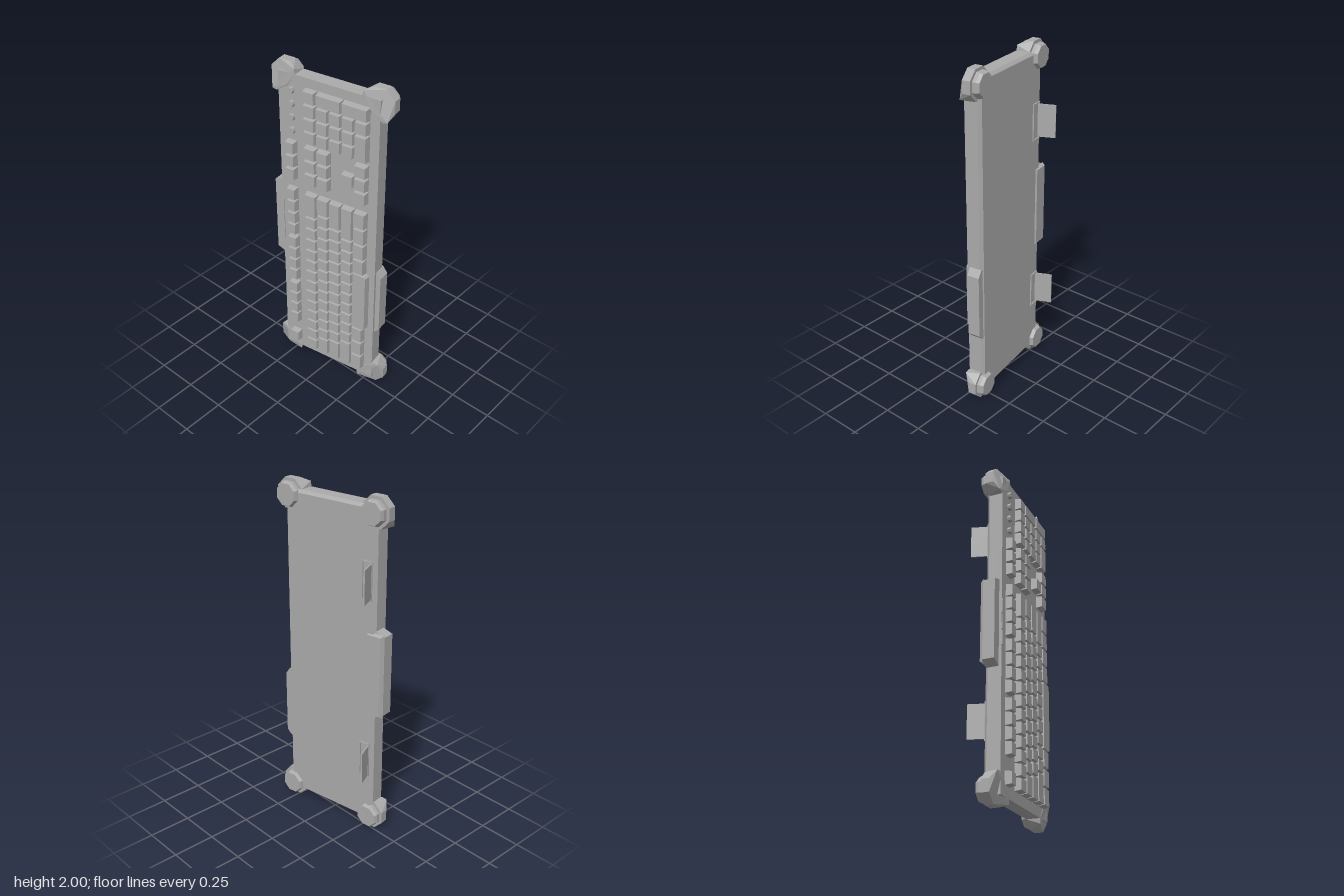
import * as THREE from 'three';
import { ConvexGeometry } from 'three/addons/geometries/ConvexGeometry.js';

const grey = new THREE.MeshStandardMaterial({ color: 0xaaaaaa });
grey.name = 'grey plastic';
grey.flatShading = true;

const FRONT = 0.046;   // face plate level
const KEY_TOP = 0.083;

function add(parent, name, geometry, x = 0, y = 0, z = 0) {
  const mesh = new THREE.Mesh(geometry, grey);
  mesh.name = name;
  mesh.position.set(x, y, z);
  parent.add(mesh);
  return mesh;
}

// Box from z0 to z1 whose z1 face is drawn in by the given inset
function taperBox(w, h, z0, z1, inset) {
  const g = new THREE.BoxGeometry(w, h, Math.abs(z1 - z0));
  g.translate(0, 0, (z0 + z1) / 2);
  const p = g.attributes.position;
  for (let i = 0; i < p.count; i++) {
    if (Math.abs(p.getZ(i) - z1) > 1e-5) continue;
    p.setX(i, p.getX(i) - Math.sign(p.getX(i)) * inset);
    p.setY(i, p.getY(i) - Math.sign(p.getY(i)) * inset);
  }
  g.computeVertexNormals();
  return g;
}

// Flat outline extruded from z0 to z1
function prism(points, z0, z1) {
  const shape = new THREE.Shape(points.map(([x, y]) => new THREE.Vector2(x, y)));
  const g = new THREE.ExtrudeGeometry(shape, { depth: z1 - z0, bevelEnabled: false });
  g.translate(0, 0, z0);
  return g;
}

function octagon(r, k) {
  return [[r, k], [k, r], [-k, r], [-r, k], [-r, -k], [-k, -r], [k, -r], [r, -k]];
}

function hull(points) {
  return new ConvexGeometry(points.map((p) => new THREE.Vector3(...p)));
}

function createModel() {
  const model = new THREE.Group();
  model.name = 'keyboard';
  const board = new THREE.Group();
  board.name = 'board';
  board.rotation.y = 0.148;
  model.add(board);

  // Case: straight slab with a bevelled back
  add(board, 'caseSlab', taperBox(0.62, 1.9, -0.034, FRONT, 0), 0, 1.0);
  add(board, 'caseBack', taperBox(0.62, 1.9, -0.034, -0.051, 0.016), 0, 1.0);

  // Corner bumpers with a faceted front, and octagonal pads behind
  for (const sx of [-1, 1]) for (const sy of [-1, 1]) {
    const place = ([a, b], z) => [a * sx, b * sy, z];
    const outer = octagon(0.085, 0.035);
    const ridge = [[-0.08, 0.065], [0.062, -0.08], [-0.085, 0.035], [0.035, -0.085]];
    const bumper = hull([
      ...outer.map((p) => place(p, -0.034)),
      ...outer.map((p) => place(p, 0.014)),
      ...ridge.map((p) => place(p, FRONT)),
      place([-0.035, -0.035], 0.049),
    ]);
    add(board, 'cornerBumper', bumper, 0.288 * sx, 1 + 0.915 * sy);
    const pad = hull([
      ...octagon(0.068, 0.028).map((p) => place(p, -0.03)),
      ...octagon(0.068, 0.028).map((p) => place(p, -0.055)),
      ...octagon(0.06, 0.025).map((p) => place(p, -0.073)),
    ]);
    add(board, 'footPad', pad, 0.288 * sx, 1 + 0.915 * sy);
  }

  // Side grips
  add(board, 'rightGrip', prism([[-0.25, 0.745], [-0.25, 1.265], [-0.31, 1.265],
    [-0.368, 1.245], [-0.368, 0.77], [-0.31, 0.745]], -0.04, 0.03));
  add(board, 'rightGripBack', taperBox(0.11, 0.5, -0.04, -0.06, 0.012), -0.31, 1.005);
  add(board, 'leftGrip', prism([[0.28, 0.41], [0.31, 0.41], [0.339, 0.44],
    [0.339, 0.82], [0.31, 0.86], [0.28, 0.86]], -0.045, 0.03));

  // Light strips beside the narrow key column
  for (const y of [0.91, 1.005, 1.1]) {
    add(board, 'lightStrip', new THREE.BoxGeometry(0.01, 0.085, 0.006), -0.304, y, FRONT + 0.002);
  }

  // Round buttons
  for (const y of [1.62, 1.7, 1.78, 1.86]) {
    const g = new THREE.CylinderGeometry(0.02, 0.02, 0.024, 8);
    g.rotateX(Math.PI / 2);
    add(board, 'roundButton', g, -0.226, y, FRONT + 0.009);
  }

  // Keys: y0 and y1 bound the cell
  const keys = new THREE.Group();
  keys.name = 'keys';
  board.add(keys);
  const column = [-0.1, -0.02, 0.06, 0.138, 0.217];
  const key = (x, y0, y1, w = 0.076) => add(keys, 'key',
    taperBox(w, y1 - y0 - 0.003, FRONT - 0.004, KEY_TOP, 0.006), x, (y0 + y1) / 2);
  const unit = (x, y, w) => key(x, y - 0.0395, y + 0.0395, w);

  // Narrow key column
  const narrow = [1.52, 1.438, 1.355, 0.148];
  for (const top of [1.22, 0.885, 0.545]) for (let i = 0; i < 4; i++) narrow.push(top - i * 0.08);
  for (const y of narrow) unit(-0.229, y, 0.062);

  // Main block, key widths listed from the bottom up
  const ones = (n) => Array(n).fill(1);
  const rows = [
    [...ones(13), 2],
    [1.5, ...ones(12), 1.5],
    [1.75, ...ones(11), 2.25],
    [2.25, ...ones(10), 2.75],
    [1.4, 1.4, 1.4, 5.3, 1.375, 1.375, 1.375, 1.375],
  ];
  const step = 1.152 / 15;
  rows.forEach((row, c) => {
    let y = 0.108;
    for (const n of row) {
      if (n < 5) key(column[c], y, y + n * step);
      y += n * step;
    }
  });

  // Space bar with clipped outer corners
  const bar = (i, z) => [[-0.045 + i, -0.205 + i], [-0.045 + i, 0.205 - i], [0.035, 0.205 - i],
    [0.05 - i, 0.19], [0.05 - i, -0.19], [0.035, -0.205 + i]].map(([x, y]) => [x, y, z]);
  add(keys, 'spaceBar', hull([...bar(0, FRONT - 0.004), ...bar(0.006, KEY_TOP)]), 0.225, 0.635);

  // Navigation and arrow keys
  for (const y of [1.52, 1.438, 1.355]) for (const c of [0, 1, 4]) unit(column[c], y);
  unit(column[3], 1.438);

  // Number pad
  const pad = [1.858, 1.778, 1.698, 1.619];
  unit(column[0], pad[0]);
  key((column[1] + column[2]) / 2, 1.8185, 1.8975, 0.155);
  key((column[3] + column[4]) / 2, 1.8185, 1.8975, 0.155);
  for (const y of pad.slice(1)) for (let c = 0; c < 4; c++) unit(column[c], y);
  unit(column[4], pad[1]);
  key(column[4], 1.58, 1.737);

  // Fold-out legs in small frames on the back
  for (const y of [0.457, 1.545]) {
    for (const x of [-0.284, -0.224]) {
      add(board, 'legFrameSide', new THREE.BoxGeometry(0.008, 0.22, 0.012), x, y, -0.053);
    }
    for (const s of [-1, 1]) {
      add(board, 'legFrameEnd', new THREE.BoxGeometry(0.068, 0.008, 0.012), -0.254, y + s * 0.106, -0.053);
    }
    const leg = add(board, 'foldingLeg', new THREE.BoxGeometry(0.007, 0.195, 0.104), -0.294, y, -0.1);
    leg.rotation.y = 0.29;
  }

  return model;
}

export { createModel };
